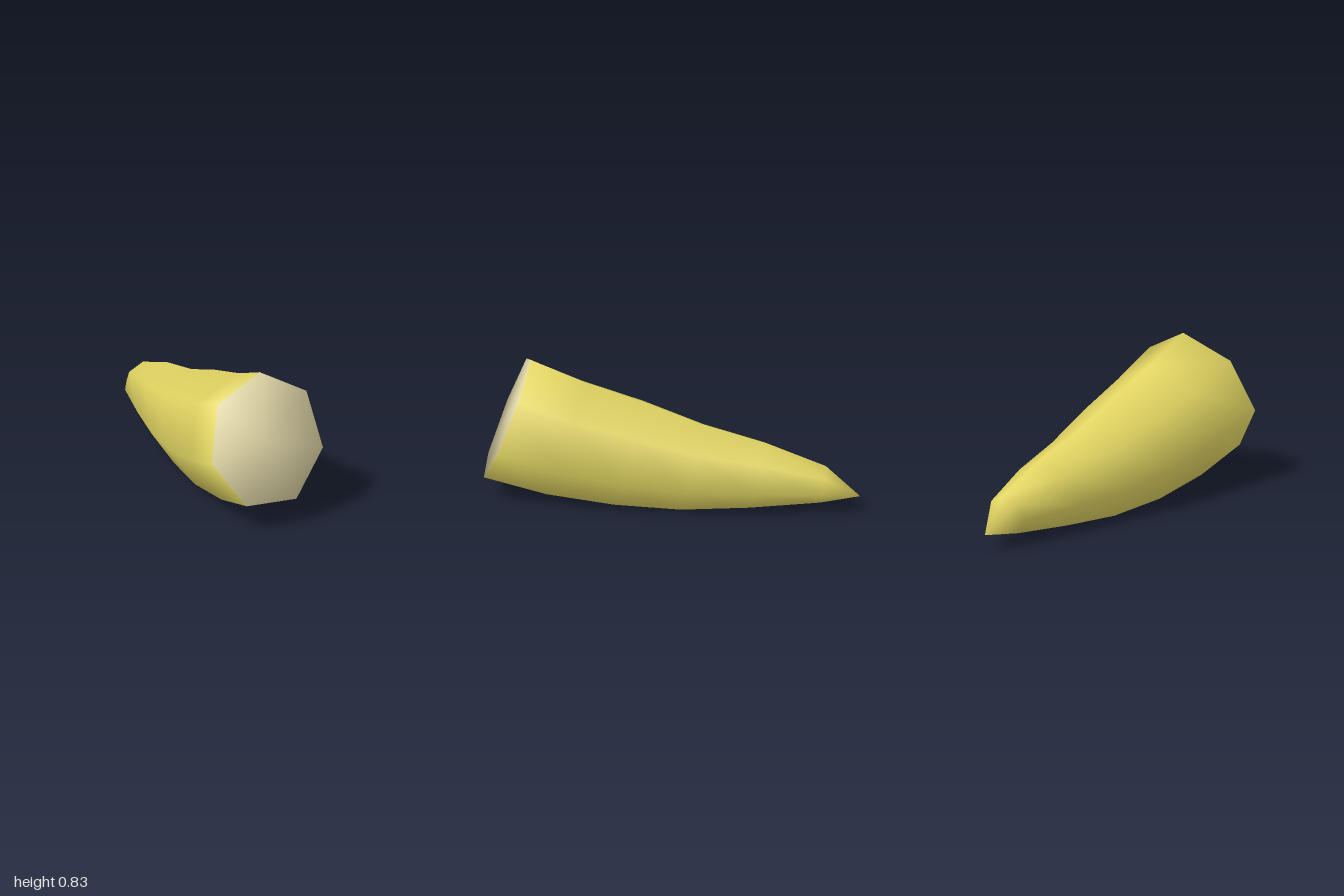
import * as THREE from 'three';

export function createModel() {
  const group = new THREE.Group();
  const yellow = new THREE.MeshStandardMaterial({ color: 0xe2d562 });
  yellow.name = 'horn yellow';
  const beige = new THREE.MeshStandardMaterial({ color: 0xddd3a4 });
  beige.name = 'cut end beige';

  // Seven-sided cross-section: offsets in y and z from the ring centre
  const section = [
    [-0.088, -0.31], [-0.323, -0.088], [-0.315, 0.202], [-0.068, 0.337],
    [0.227, 0.222], [0.352, -0.063], [0.214, -0.298],
  ];
  // Rings from the cut end to the tip: centre x, y, z, scale, lean with y, lean with z
  const rings = [
    [0.846, 0.483, 0.163, 1, 0.392, 0.286],
    [0.54, 0.38, 0.062, 0.958, 0.33, 0.3],
    [0.205, 0.304, -0.047, 0.88, 0.29, 0.3],
    [-0.125, 0.238, -0.165, 0.726, 0.27, 0.3],
    [-0.465, 0.21, -0.288, 0.556, 0.25, 0.25],
    [-0.805, 0.173, -0.407, 0.317, 0.15, 0.2],
  ];
  const n = section.length;
  const positions = [];
  for (const [x, y, z, s, a, b] of rings) {
    for (const [dy, dz] of section) {
      positions.push(x - s * (a * dy + b * dz), y + s * dy, z + s * dz);
    }
  }
  const tip = rings.length * n;
  const centre = tip + 1;
  positions.push(-1, 0.105, -0.47);
  positions.push(...rings[0].slice(0, 3));

  // Curved sides and pointed tip
  const index = [];
  for (let r = 0; r < rings.length; r++) {
    for (let i = 0; i < n; i++) {
      const j = (i + 1) % n;
      const p = r * n + i, q = r * n + j;
      if (r === rings.length - 1) index.push(p, q, tip);
      else index.push(p, q, q + n, p, q + n, p + n);
    }
  }
  const sideCount = index.length;
  // Cut end, sharing the rim so the shading rolls softly over the edge
  for (let i = 0; i < n; i++) index.push(centre, (i + 1) % n, i);

  const geometry = new THREE.BufferGeometry();
  geometry.setAttribute('position', new THREE.Float32BufferAttribute(positions, 3));
  geometry.setIndex(index);
  geometry.addGroup(0, sideCount, 0);
  geometry.addGroup(sideCount, n * 3, 1);
  geometry.computeVertexNormals();

  const horn = new THREE.Mesh(geometry, [yellow, beige]);
  horn.name = 'horn';
  group.add(horn);
  return group;
}
